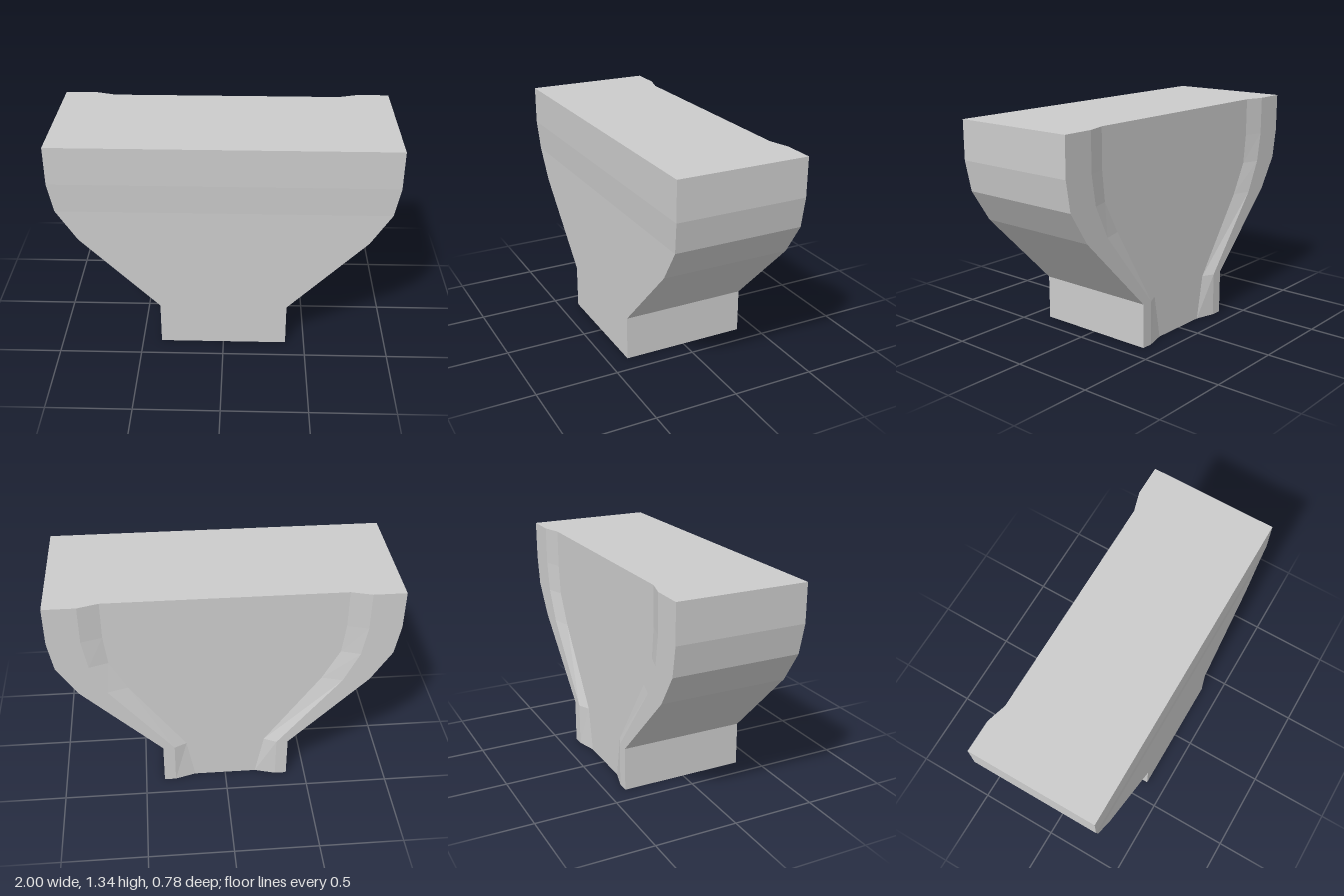
import * as THREE from 'three';

// Each level: height, half width, front z, outer and inner half width of the back recess
const LEVELS = [
  [0, 0.385, 0.38, 0.315, 0.19],
  [0.27, 0.385, 0.38, 0.315, 0.24],
  [0.74, 0.85, 0.38, 0.69, 0.57],
  [0.93, 0.97, 0.38, 0.78, 0.67],
  [1.11, 1, 0.39, 0.81, 0.69],
  [1.34, 1, 0.39, 0.81, 0.69],
];
const BACK = -0.39;
const RECESS = -0.355;

// Horizontal outline, counter-clockwise seen from above
function section([y, w, front, outer, inner]) {
  const half = [[w, front], [w, BACK], [outer, BACK], [inner, RECESS]];
  const mirrored = half.map(([x, z]) => [-x, z]).reverse();
  return [...half, ...mirrored].map(([x, z]) => [x, y, z]);
}

export function createModel() {
  const rings = LEVELS.map(section);
  const n = rings[0].length;
  const positions = [];
  const triangle = (a, b, c) => positions.push(...a, ...b, ...c);

  // Walls between neighbouring levels
  for (let i = 0; i < rings.length - 1; i++) {
    const low = rings[i], high = rings[i + 1];
    for (let k = 0; k < n; k++) {
      const m = (k + 1) % n;
      triangle(low[k], low[m], high[m]);
      triangle(low[k], high[m], high[k]);
    }
  }

  // Flat top and underside
  const bottom = rings[0], top = rings[rings.length - 1];
  for (let k = 1; k < n - 1; k++) {
    triangle(top[0], top[k], top[k + 1]);
    triangle(bottom[0], bottom[k + 1], bottom[k]);
  }

  const geometry = new THREE.BufferGeometry();
  geometry.setAttribute('position', new THREE.Float32BufferAttribute(positions, 3));
  geometry.computeVertexNormals();

  const body = new THREE.Mesh(
    geometry,
    new THREE.MeshStandardMaterial({ color: 0xcccccc, flatShading: true })
  );
  body.name = 'funnelBody';

  const group = new THREE.Group();
  group.name = 'rainwaterHopper';
  group.add(body);
  return group;
}
